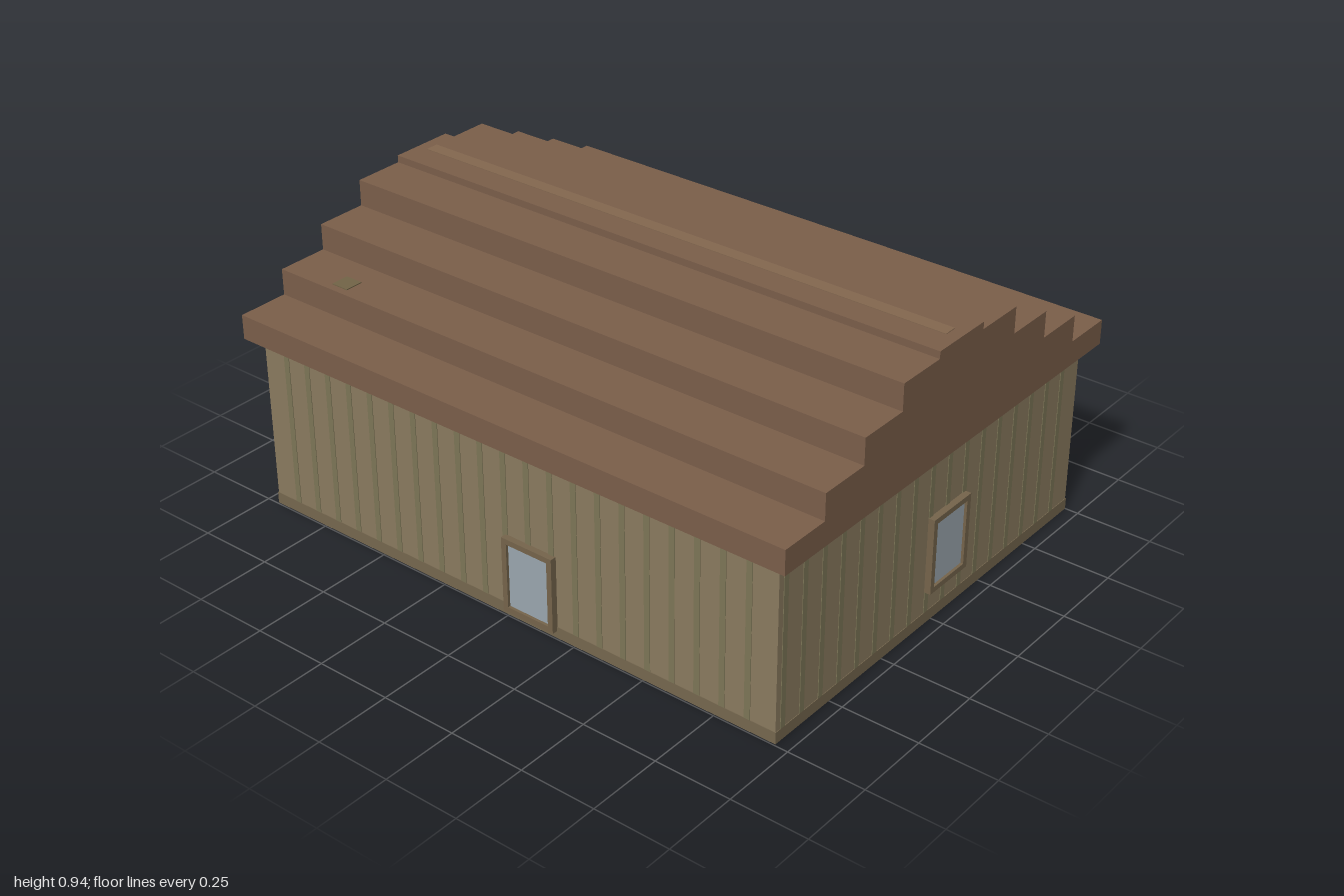
import * as THREE from 'three';

const material = (color) => new THREE.MeshStandardMaterial({ color });
const WALL = material(0x8b7b60), BATTEN = material(0x7e7757), SKIRT = material(0x76684f);
const ROOF = material(0x7b5f4a), RIDGE = material(0x84684f), MOSS = material(0x736547);
const FRAME = material(0x76654c), GLASS = material(0x9ca8b0), DOOR = material(0x75634d);

const HX = 0.955, HZ = 0.745, EAVES = 0.58;

// Box given by its minimum and maximum corners
function block(parent, name, mat, [x0, y0, z0], [x1, y1, z1]) {
  const mesh = new THREE.Mesh(new THREE.BoxGeometry(x1 - x0, y1 - y0, z1 - z0), mat);
  mesh.position.set((x0 + x1) / 2, (y0 + y1) / 2, (z0 + z1) / 2);
  mesh.name = name;
  parent.add(mesh);
}

function rectangle(Type, w, h) {
  return new Type([[-w, -h], [w, -h], [w, h], [-w, h]].map(([x, y]) => new THREE.Vector2(x / 2, y / 2)));
}

// Window facing +z: a raised frame with a recessed pane
function makeWindow(name) {
  const w = 0.187, h = 0.25, border = 0.018, depth = 0.021;
  const group = new THREE.Group();
  group.name = name;
  const outline = rectangle(THREE.Shape, w, h);
  outline.holes.push(rectangle(THREE.Path, w - 2 * border, h - 2 * border));
  const frame = new THREE.Mesh(new THREE.ExtrudeGeometry(outline, { depth, bevelEnabled: false }), FRAME);
  frame.name = 'windowFrame';
  group.add(frame);
  block(group, 'windowPane', GLASS, [-w / 2 + border, -h / 2 + border, 0], [w / 2 - border, h / 2 - border, 0.012]);
  return group;
}

export function createModel() {
  const model = new THREE.Group();
  model.name = 'cabin';

  // Walls
  block(model, 'walls', WALL, [-HX, 0, -HZ], [HX, EAVES, HZ]);

  // Thin vertical battens and a skirting strip on all four sides
  const t = 0.002;
  const battens = new THREE.Group();
  battens.name = 'battens';
  for (const s of [-1, 1]) {
    for (let i = 0; i <= 20; i++) {
      const x = -0.864 + i * 0.0862;
      block(battens, 'batten', BATTEN, [x - 0.01, 0.04, s * HZ - t], [x + 0.01, EAVES, s * HZ + t]);
    }
    for (let i = 0; i <= 16; i++) {
      const z = 0.715 - i * 0.0855;
      block(battens, 'batten', BATTEN, [s * HX - t, 0.04, z - 0.01], [s * HX + t, EAVES, z + 0.01]);
    }
  }
  model.add(battens);
  block(model, 'skirting', SKIRT, [-HX - t, 0.002, -HZ - t], [HX + t, 0.04, HZ + t]);

  // Stepped roof: one extruded profile running along x
  const steps = [[0.785, 0.66], [0.615, 0.745], [0.445, 0.83], [0.275, 0.915], [0.107, 0.938]];
  const half = [];
  let y = EAVES;
  for (const [z, top] of steps) {
    half.push([z, y], [z, top]);
    y = top;
  }
  const profile = [...half, ...half.map(([z, h]) => [-z, h]).reverse()];
  const roofShape = new THREE.Shape(profile.map(([z, h]) => new THREE.Vector2(z, h)));
  const roofGeometry = new THREE.ExtrudeGeometry(roofShape, { depth: 2, bevelEnabled: false });
  roofGeometry.translate(0, 0, -1).rotateY(Math.PI / 2);
  const roof = new THREE.Mesh(roofGeometry, ROOF);
  roof.name = 'steppedRoof';
  model.add(roof);
  block(model, 'ridgeStrip', RIDGE, [-0.96, 0.93, -0.025], [0.96, 0.94, 0.018]);
  block(model, 'mossPatch', MOSS, [-0.81, 0.74, 0.53], [-0.75, 0.748, 0.59]);

  // Windows on the front and both ends
  const windows = [
    ['frontWindow', [0.093, 0.152, HZ], 0],
    ['leftWindow', [HX, 0.237, -0.052], Math.PI / 2],
    ['rightWindow', [-HX, 0.325, -0.048], -Math.PI / 2],
  ];
  for (const [name, position, turn] of windows) {
    const unit = makeWindow(name);
    unit.position.set(...position);
    unit.rotation.y = turn;
    model.add(unit);
  }

  // Back door: inner panel behind a slightly larger outer board
  block(model, 'doorPanel', DOOR, [-0.137, 0.003, -0.768], [0.157, 0.405, -HZ]);
  block(model, 'doorBoard', DOOR, [-0.155, 0.003, -0.785], [0.175, 0.425, -0.767]);

  return model;
}
